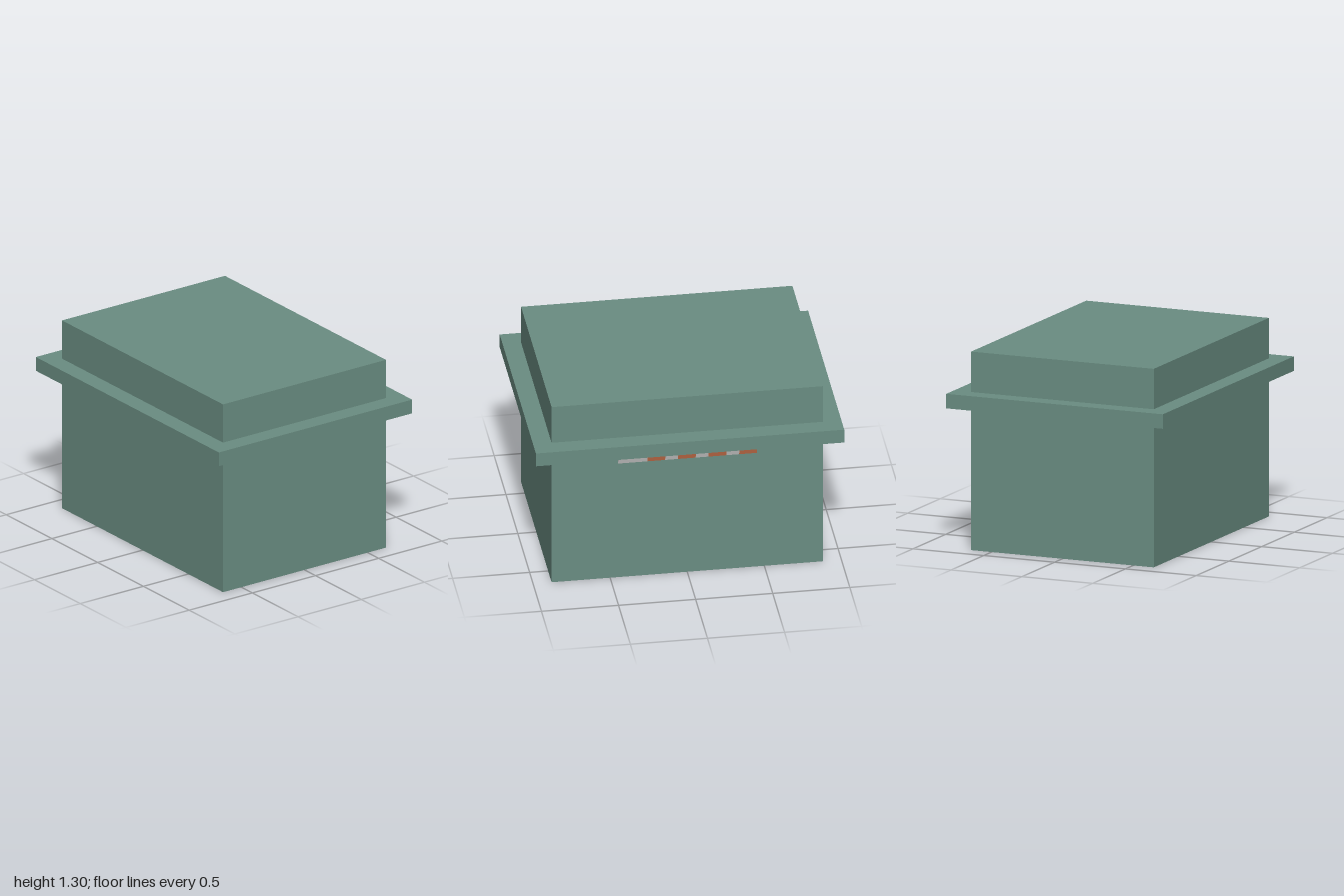
import * as THREE from 'three';

export function createModel() {
  const model = new THREE.Group();
  const green = new THREE.MeshStandardMaterial({ color: 0x6a8d82, flatShading: true });
  const orange = new THREE.MeshStandardMaterial({ color: 0xc8704a, flatShading: true });
  const grey = new THREE.MeshStandardMaterial({ color: 0xcccccc, flatShading: true });

  function box(parent, name, material, size, position) {
    const mesh = new THREE.Mesh(new THREE.BoxGeometry(...size), material);
    mesh.position.set(...position);
    mesh.name = name;
    parent.add(mesh);
  }

  // Main block with a wide slab around its upper part
  box(model, 'body', green, [1.76, 1.3, 1.29], [0, 0.65, 0]);
  box(model, 'rim', green, [2, 0.095, 1.53], [0, 0.988, 0]);

  // Striped strip under the rim at the back, leaning outwards at the top
  const strip = new THREE.Group();
  strip.name = 'stripedStrip';
  strip.position.set(0, 0.877, -0.651);
  strip.rotation.x = -0.27;
  const widths = [0.19, 0.115, 0.083, 0.115, 0.083, 0.115, 0.084, 0.115];
  let x = 0.45;
  widths.forEach((w, i) => {
    const isOrange = i % 2 === 1;
    box(strip, isOrange ? 'orangeStripe' : 'greyStripe', isOrange ? orange : grey,
      [w, 0.05, 0.025], [x - w / 2, 0, 0]);
    x -= w;
  });
  model.add(strip);

  return model;
}
